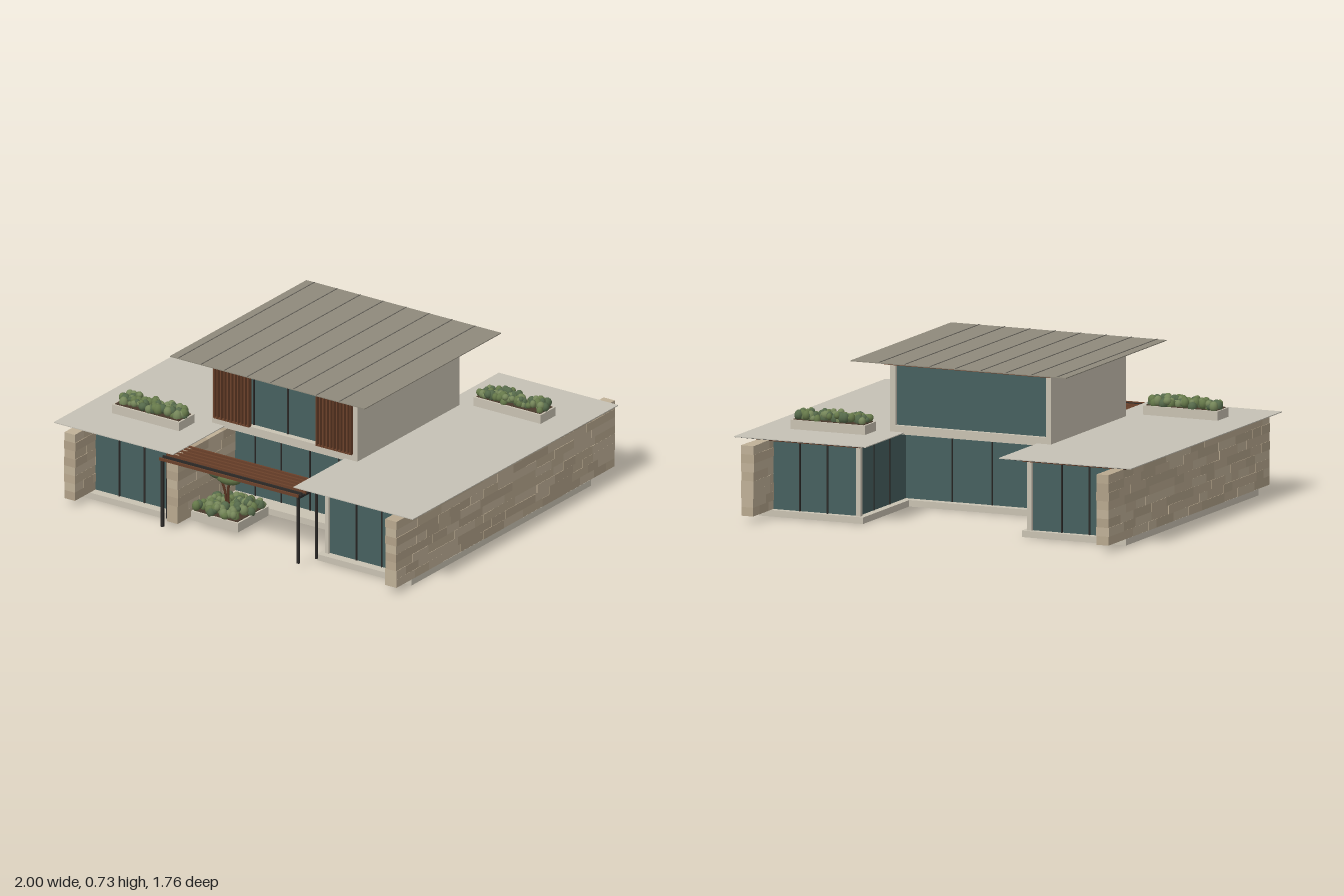
import * as THREE from 'three';
import { mergeGeometries } from 'three/addons/utils/BufferGeometryUtils.js';

const mat = (color) => new THREE.MeshStandardMaterial({ color });
const M = {
  plaster: mat(0xc9c2b2), roofTop: mat(0xc5c1b5), metal: mat(0x8f8a7c), seam: mat(0x77736a),
  edge: mat(0x4b4a48), frame: mat(0x2c2a28), glass: mat(0x46605f), wood: mat(0x6b412a),
  soil: mat(0x4a3a2c), trunk: mat(0x5a3522),
  stone: [mat(0xb9a98f), mat(0xb1a188), mat(0xc0b198)],
  leaf: [mat(0x66794a), mat(0x55694a), mat(0x76875a)],
};

// Small seeded generator
let seed = 7;
const rnd = (a = 0, b = 1) => {
  seed = (seed * 16807) % 2147483647;
  return a + (b - a) * (seed / 2147483647);
};

// Box geometry given by its limits on each axis
const boxGeo = (x0, x1, y0, y1, z0, z1) =>
  new THREE.BoxGeometry(x1 - x0, y1 - y0, z1 - z0)
    .translate((x0 + x1) / 2, (y0 + y1) / 2, (z0 + z1) / 2);

function add(parent, name, geo, material) {
  const mesh = new THREE.Mesh(geo, material);
  mesh.name = name;
  parent.add(mesh);
  return mesh;
}
const box = (parent, name, material, ...lim) => add(parent, name, boxGeo(...lim), material);

function section(parent, name) {
  const g = new THREE.Group();
  g.name = name;
  parent.add(g);
  return g;
}

// Merges lists of geometries, one mesh per tint
function addTinted(parent, name, lists, mats) {
  lists.forEach((l, i) => l.length && add(parent, name, mergeGeometries(l), mats[i]));
}

// Thin roof: wide top, underside drawn in to a smaller rectangle
function roof(parent, name, topMat, [x0, x1, z0, z1], [bx0, bx1, bz0, bz1], y0, y1) {
  const g = section(parent, name);
  const geo = boxGeo(x0, x1, y0, y1 - 0.004, z0, z1);
  const p = geo.attributes.position;
  const mid = (y0 + y1) / 2;
  for (let i = 0; i < p.count; i++) {
    if (p.getY(i) > mid) continue;
    p.setX(i, p.getX(i) < (x0 + x1) / 2 ? bx0 : bx1);
    p.setZ(i, p.getZ(i) < (z0 + z1) / 2 ? bz0 : bz1);
  }
  geo.computeVertexNormals();
  add(g, 'roofEdge', geo, M.edge);
  box(g, 'roofCover', topMat, x0, x1, y1 - 0.004, y1, z0, z1);
  box(g, 'soffit', M.wood, bx0, bx1, y0 - 0.003, y0, bz0, bz1);
}

// Wall of coursed stones with slightly varied faces
function stoneWall(parent, name, x0, x1, y0, y1, z0, z1) {
  const lists = [[], [], []];
  const courses = 8, h = (y1 - y0) / courses;
  for (let c = 0; c < courses; c++) {
    let z = z0;
    while (z < z1 - 1e-6) {
      let end = z + rnd(0.07, 0.19);
      if (end > z1 - 0.05) end = z1;
      const j = rnd(0, 0.004);
      lists[Math.floor(rnd(0, 3))].push(
        boxGeo(x0 + j, x1 - j, y0 + c * h, y0 + (c + 1) * h, z, end));
      z = end;
    }
  }
  addTinted(section(parent, name), 'stones', lists, M.stone);
}

// Box planter filled with rounded shrubs
function planter(parent, name, x0, x1, y0, y1, z0, z1, count, tall) {
  const g = section(parent, name);
  box(g, 'planterBox', M.plaster, x0, x1, y0, y1, z0, z1);
  box(g, 'soil', M.soil, x0 + 0.01, x1 - 0.01, y1, y1 + 0.003, z0 + 0.01, z1 - 0.01);
  const lists = [[], [], []];
  for (let i = 0; i < count; i++) {
    const r = rnd(0.013, 0.023), h = r * rnd(0.9, 1.35);
    const x = x0 + 0.015 + (x1 - x0 - 0.03) * ((i + rnd()) / count);
    lists[i % 3].push(new THREE.SphereGeometry(1, 10, 7).scale(r, h, r)
      .translate(x, y1 + rnd(0.006, tall - h), rnd(z0 + 0.014, z1 - 0.014)));
  }
  addTinted(g, 'shrubs', lists, M.leaf);
}

// Mullions on a glass face that looks along z
function mullions(parent, xs, y0, y1, z) {
  xs.forEach((x) => box(parent, 'mullion', M.frame, x - 0.003, x + 0.003, y0, y1, z - 0.005, z + 0.005));
}

function wing(house, s) {
  const g = section(house, s > 0 ? 'leftWing' : 'rightWing');
  const span = (a, b) => (s > 0 ? [a, b] : [-b, -a]);
  box(g, 'baseSlab', M.plaster, ...span(0.4, 0.925), 0, 0.03, -0.69, 0.745);
  box(g, 'glassWalls', M.glass, ...span(0.435, 0.87), 0.03, 0.355, -0.66, 0.70);
  stoneWall(g, 'outerStoneWall', ...span(0.862, 0.927), 0.03, 0.357, -0.88, 0.865);
  roof(g, 'wingRoof', M.roofTop, [...span(0.335, 1), -0.8, 0.84],
    [...span(0.41, 0.93), -0.71, 0.75], 0.357, 0.38);
  for (const z of [-0.665, 0.70]) {
    mullions(g, [s * 0.59, s * 0.73], 0.03, 0.355, z);
    box(g, 'cornerPost', M.plaster, ...span(0.42, 0.442), 0.03, 0.357, z - 0.012, z + 0.012);
  }
  for (const z of [-0.5, -0.33])
    box(g, 'sideMullion', M.frame, ...span(0.431, 0.437), 0.03, 0.355, z - 0.003, z + 0.003);
  box(g, 'roofPost', M.frame, ...span(0.409, 0.42), 0.02, 0.36, 0.765, 0.776);
}

export function createModel() {
  seed = 7;
  const house = new THREE.Group();
  house.name = 'house';

  // Two wings, mirrored
  for (const s of [1, -1]) wing(house, s);
  box(house, 'woodCornerPanel', M.wood, -0.436, -0.428, 0.03, 0.355, -0.65, -0.6);

  // Centre of the ground floor, joining the wings
  const core = section(house, 'groundFloorCentre');
  box(core, 'baseSlab', M.plaster, -0.4, 0.4, 0, 0.03, -0.19, 0.43);
  box(core, 'glassWalls', M.glass, -0.44, 0.44, 0.03, 0.365, -0.15, 0.34);
  mullions(core, [-0.225, -0.08, 0.08, 0.24, 0.38], 0.03, 0.365, 0.34);
  mullions(core, [-0.2, 0, 0.2], 0.03, 0.365, -0.15);
  stoneWall(core, 'courtyardStoneWall', -0.4, -0.335, 0.02, 0.357, 0.3, 0.8);

  // Upper floor: plaster shell open at front and back
  const up = section(house, 'upperFloor');
  box(up, 'floorSlab', M.plaster, -0.405, 0.405, 0.37, 0.41, -0.385, 0.43);
  for (const s of [-1, 1])
    box(up, 'sideWall', M.plaster, s * 0.392 - 0.013, s * 0.392 + 0.013, 0.41, 0.7, -0.385, 0.43);
  box(up, 'glassWalls', M.glass, -0.38, 0.38, 0.41, 0.7, -0.365, 0.40);
  mullions(up, [-0.19, 0, 0.18], 0.41, 0.7, 0.40);

  // Sliding screens of upright wooden fins
  for (const [name, start] of [['rightScreen', -0.385], ['leftScreen', 0.185]]) {
    const g = section(up, name);
    for (let i = 0; i < 11; i++) {
      const x = start + i * 0.019;
      box(g, 'fin', M.wood, x, x + 0.007, 0.415, 0.695, 0.425, 0.45);
    }
    for (const y of [0.412, 0.692])
      box(g, 'rail', M.wood, start, start + 0.197, y, y + 0.006, 0.428, 0.447);
  }

  // Upper roof with standing seams
  roof(up, 'upperRoof', M.metal, [-0.545, 0.54, -0.525, 0.565], [-0.42, 0.415, -0.43, 0.49], 0.7, 0.722);
  for (let i = 0; i < 8; i++) {
    const x = -0.499 + i * 0.128;
    box(up, 'roofSeam', M.seam, x - 0.002, x + 0.002, 0.722, 0.725, -0.523, 0.563);
  }

  // Pergola over the front court
  const pergola = section(house, 'pergola');
  for (let i = 0; i < 5; i++) {
    const z = 0.687 + i * 0.031;
    box(pergola, 'slat', M.wood, -0.39, 0.385, 0.347, 0.364, z - 0.005, z + 0.005);
  }
  for (const z of [0.842, 0.872])
    box(pergola, 'frontBeam', z > 0.85 ? M.wood : M.frame, -0.39, 0.385, 0.35, 0.363, z - 0.004, z + 0.004);
  for (const x of [-0.378, 0.378]) {
    box(pergola, 'post', M.frame, x - 0.006, x + 0.006, 0.02, 0.357, 0.857, 0.869);
    box(pergola, 'sideBeam', M.frame, x - 0.005, x + 0.005, 0.338, 0.349, 0.68, 0.872);
  }

  // Planters on the roofs and in the court
  planter(house, 'frontRoofPlanter', -0.84, -0.465, 0.382, 0.425, 0.485, 0.605, 80, 0.05);
  planter(house, 'backRoofPlanter', 0.465, 0.84, 0.382, 0.425, -0.53, -0.41, 80, 0.05);
  planter(house, 'courtPlanter', -0.315, -0.055, 0.02, 0.065, 0.48, 0.725, 95, 0.055);

  // Small tree in the court planter
  const tree = section(house, 'tree');
  for (const [x, lean] of [[-0.185, 0.005], [-0.2, -0.035]]) {
    const path = new THREE.CatmullRomCurve3([
      new THREE.Vector3(x, 0.06, 0.61), new THREE.Vector3(x, 0.14, 0.615),
      new THREE.Vector3(x + lean, 0.235, 0.615)]);
    add(tree, 'trunk', new THREE.TubeGeometry(path, 8, 0.006, 7), M.trunk);
  }
  const crowns = [[-0.18, 0.228, 0.615, 0.07, 0.036], [-0.235, 0.245, 0.615, 0.062, 0.036],
    [-0.165, 0.272, 0.61, 0.056, 0.042]];
  crowns.forEach(([x, y, z, r, h], i) =>
    add(tree, 'crown', new THREE.SphereGeometry(1, 18, 12).scale(r, h, 0.045).translate(x, y, z), M.leaf[i % 2]));

  return house;
}
